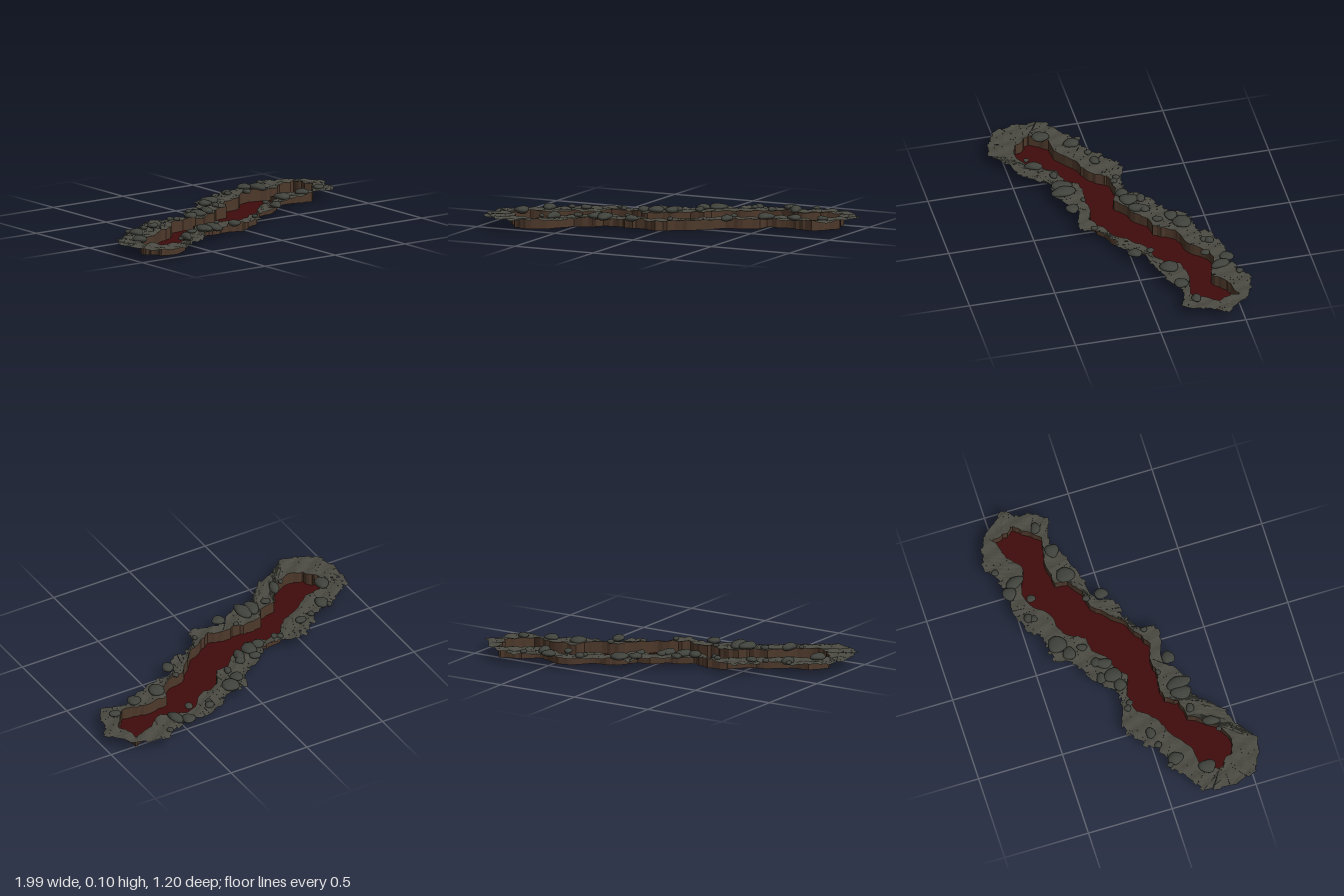
import * as THREE from 'three';
import { mergeVertices } from 'three/addons/utils/BufferGeometryUtils.js';

const RIM_Y = 0.068;
const SUB = 4; // steps between outline stations

// Matching stations round the trench, x and z in hundredths
const INNER = [
  -87, 32, -80, 22, -70, 21, -57, 11, -49, 8, -42, 1, -39, -3, -29, -5, -24, -3, -17, -1,
  -10, -7, -5, -8, 3, -16, 11, -17, 16, -26, 21, -30, 30, -32, 38, -40, 47, -44, 56, -41,
  63, -39, 71, -46, 78, -48, 84, -50, 85, -41, 88, -37, 83, -31, 77, -23, 68, -25, 59, -26,
  48, -24, 47, -17, 39, -11, 29, -9, 20, 0, 13, 8, 5, 12, -3, 17, -11, 14, -21, 15,
  -29, 14, -37, 15, -40, 22, -51, 24, -56, 32, -61, 39, -72, 44, -80, 42, -82, 37, -86, 35];
const OUTER = [
  -97, 20, -88, 14, -80, 7, -69, 5, -60, -5, -53, -11, -47, -13, -34, -10, -26, -9, -21, -14,
  -14, -21, -8, -25, -1, -29, 3, -38, 12, -40, 19, -40, 24, -47, 39, -52, 47, -50, 56, -53,
  66, -59, 74, -60, 81, -58, 90, -53, 99, -40, 94, -34, 92, -26, 87, -16, 72, -20, 62, -13,
  54, -10, 43, -7, 32, -5, 29, 5, 17, 8, 8, 14, 7, 23, -2, 24, -16, 20, -20, 25,
  -29, 30, -40, 31, -47, 39, -55, 47, -64, 50, -70, 54, -75, 59, -85, 56, -94, 52, -99, 40];

// Boulders: x, z, half width, half depth in hundredths
const ROCKS = [
  -84, 26, 4, 5, -74, 10, 4, 4.5, -63, 3, 2, 2, -55, 1, 3, 3, -77, 6, 1.5, 2, -58, 36, 3, 5,
  -64, 39, 1.5, 1.5, -47, 27, 2.5, 2.5, -37, 25, 4, 6, -31, 25, 4.5, 7, -14, 24, 4, 3.5,
  -21, 16, 1.5, 1.5, 6, 16, 1.5, 2, -22, -7, 4, 3.5, -15, -9, 4.5, 5, -15, -16, 3, 3,
  -7, -12, 3, 5, -5, -16, 3, 3, 5, -29, 4, 3.5, 12, -34, 4.5, 6, 6, -21, 2, 3,
  32, -45, 3, 2.5, 31, -42, 2, 2, 43, -40, 2, 3, 49, -51, 4, 4, 55, -46, 3.5, 5.5,
  64, -55, 2, 2, 51, -17, 4, 6, 67, -20, 4, 4, 34, -1, 3.5, 4, 34, -10, 2, 2,
  83, -25, 3, 3, -37, -7, 2, 2, -34, -5, 2, 2];

let seed = 7;
const rand = () => (seed = (seed * 16807) % 2147483647) / 2147483647;
const jitter = (a) => (rand() * 2 - 1) * a;

// Subdivide a closed outline into [x, z] vectors
function resample(list) {
  const n = list.length / 2, out = [];
  const at = (i) => new THREE.Vector2(list[(i % n) * 2], list[(i % n) * 2 + 1]).multiplyScalar(0.01);
  for (let i = 0; i < n; i++)
    for (let k = 0; k < SUB; k++) out.push(at(i).lerp(at(i + 1), k / SUB));
  return out;
}

const height = (p) =>
  RIM_Y + 0.004 * Math.sin(p.x * 38 + p.y * 55) + 0.003 * Math.sin(p.x * 71 - p.y * 23);

function fromQuads(quads) {
  const pos = [];
  for (const [a, b, c, d] of quads) for (const v of [a, b, c, a, c, d]) pos.push(...v);
  const geo = new THREE.BufferGeometry();
  geo.setAttribute('position', new THREE.Float32BufferAttribute(pos, 3));
  geo.computeVertexNormals();
  return geo;
}

// Ragged ground strip: each step juts out by its own amount
function rimGeometry(inner, outer) {
  const quads = [], n = inner.length, rows = 5;
  for (let i = 0; i < n; i++) {
    const j = (i + 1) % n;
    const shift = outer[i].clone().sub(inner[i]).normalize().multiplyScalar(jitter(0.013));
    const ends = [outer[i].clone().add(shift), outer[j].clone().add(shift)];
    const point = (k, t) => {
      const p = inner[k === 0 ? i : j].clone().lerp(ends[k], t);
      return [p.x, height(p), p.y];
    };
    for (let r = 0; r < rows; r++) {
      const t = r / rows, u = (r + 1) / rows;
      quads.push([point(0, t), point(1, t), point(1, u), point(0, u)]);
    }
  }
  return fromQuads(quads);
}

function wallGeometry(inner) {
  return fromQuads(inner.map((a, i) => {
    const b = inner[(i + 1) % inner.length];
    return [[a.x, 0, a.y], [b.x, 0, b.y], [b.x, height(b), b.y], [a.x, height(a), a.y]];
  }));
}

// Lumpy unit pebble, smooth shaded
function rockGeometry(phase) {
  const ico = new THREE.IcosahedronGeometry(1, 2);
  ico.deleteAttribute('normal');
  ico.deleteAttribute('uv');
  const geo = mergeVertices(ico, 1e-3);
  const p = geo.attributes.position, v = new THREE.Vector3();
  for (let i = 0; i < p.count; i++) {
    v.fromBufferAttribute(p, i);
    v.multiplyScalar(1 + 0.09 * Math.sin(v.x * 3 + phase) + 0.07 * Math.sin(v.z * 4 - v.y * 2 + phase * 2));
    p.setXYZ(i, v.x, v.y, v.z);
  }
  geo.computeVertexNormals();
  return geo;
}

export function createModel() {
  const group = new THREE.Group();
  const material = (name, color) => {
    const m = new THREE.MeshStandardMaterial({ color });
    m.name = name;
    return m;
  };
  const ground = material('ashGround', 0x4a4a42);
  const earth = material('brownEarth', 0x4e392b);
  const red = material('darkRed', 0x400c0d);
  const stone = material('stone', 0x40423c);
  for (const m of [ground, earth, red]) m.side = THREE.DoubleSide;
  ground.flatShading = true;

  const add = (geo, mat, name) => {
    const mesh = new THREE.Mesh(geo, mat);
    mesh.name = name;
    group.add(mesh);
    return mesh;
  };

  const inner = resample(INNER), outer = resample(OUTER);
  inner.forEach((p, i) => { // slightly uneven trench edge
    if (i % SUB) p.add(new THREE.Vector2(jitter(0.006), jitter(0.006)));
  });

  add(rimGeometry(inner, outer), ground, 'rim');
  add(wallGeometry(inner), earth, 'trenchWall');

  // Trench bottom
  const floor = new THREE.ShapeGeometry(new THREE.Shape(inner.map((p) => new THREE.Vector2(p.x, -p.y))));
  floor.rotateX(-Math.PI / 2);
  add(floor, red, 'trenchFloor');

  // Boulders scattered on the rim
  const pebbles = [0, 1.3, 2.9, 4.4].map(rockGeometry);
  for (let i = 0; i < ROCKS.length; i += 4) {
    const [x, z, w, d] = ROCKS.slice(i, i + 4).map((v) => v / 100);
    const rock = add(pebbles[(i / 4) % 4], stone, 'boulder');
    rock.scale.set(w, Math.min(0.021, 0.006 + 0.3 * Math.max(w, d)), d);
    rock.position.set(x, RIM_Y + 0.008, z);
    rock.rotation.y = jitter(0.4);
  }
  return group;
}
